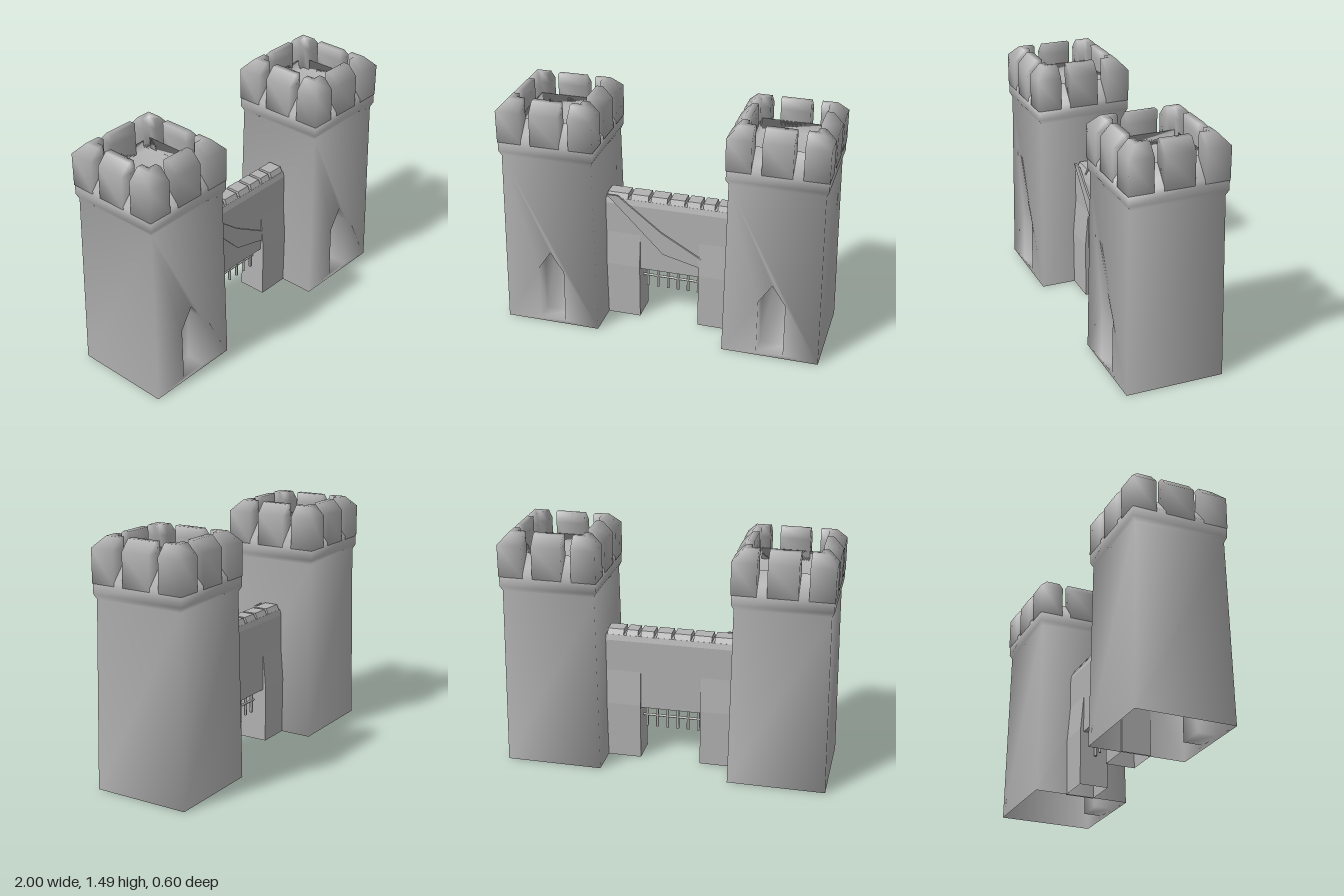
import * as THREE from 'three';
import { mergeVertices } from 'three/addons/utils/BufferGeometryUtils.js';

const stone = new THREE.MeshStandardMaterial({ color: 0xb2b2b2, side: THREE.DoubleSide });
stone.name = 'grey stone';

function addMesh(parent, name, geometry) {
  const mesh = new THREE.Mesh(geometry, stone);
  mesh.name = name;
  parent.add(mesh);
  return mesh;
}

// Share corner vertices so the shading flows around the edges
function smooth(geometry) {
  geometry.deleteAttribute('normal');
  geometry.deleteAttribute('uv');
  const g = mergeVertices(geometry, 1e-4);
  g.computeVertexNormals();
  return g;
}

// Collects triangles and quads into one geometry
function faceBuilder() {
  const data = [];
  const tri = (a, b, c) => data.push(...a, ...b, ...c);
  const quad = (a, b, c, d) => { tri(a, b, c); tri(a, c, d); };
  const build = () => {
    const g = new THREE.BufferGeometry();
    g.setAttribute('position', new THREE.Float32BufferAttribute(data, 3));
    g.computeVertexNormals();
    return g;
  };
  return { tri, quad, build };
}

// Open-bottomed block through rectangles [zBack, zFront, y]
function block(x0, x1, levels) {
  const f = faceBuilder();
  const ring = ([zb, zf, y]) => [[x0, y, zf], [x1, y, zf], [x1, y, zb], [x0, y, zb]];
  const rings = levels.map(ring);
  for (let i = 0; i < rings.length - 1; i++) {
    for (let k = 0; k < 4; k++) {
      const n = (k + 1) % 4;
      f.quad(rings[i][k], rings[i][n], rings[i + 1][n], rings[i + 1][k]);
    }
  }
  f.quad(...rings[rings.length - 1]);
  return f.build();
}

// Square tower shell with a deep pointed doorway in the front wall
function towerShell() {
  const f = faceBuilder();
  const base = 0.3, neck = 0.283, neckY = 1.13, depth = 0.12;
  const half = (y) => base + (neck - base) * y / neckY;
  const turn = ([x, y, z], k) => [[x, y, z], [z, y, -x], [-x, y, -z], [-z, y, x]][k];

  // Plain walls, flared neck, sloping sills and inner rim
  const levels = [[base, 0], [neck, neckY], [0.297, 1.16], [0.297, 1.24], [0.2, 1.35], [0.2, 1.28]];
  for (let k = 0; k < 4; k++) {
    for (let i = k === 0 ? 1 : 0; i < levels.length - 1; i++) {
      const [h0, y0] = levels[i], [h1, y1] = levels[i + 1];
      f.quad(...[[-h0, y0, h0], [h0, y0, h0], [h1, y1, h1], [-h1, y1, h1]].map((p) => turn(p, k)));
    }
  }
  // Roof floor
  f.quad([-0.2, 1.28, 0.2], [0.2, 1.28, 0.2], [0.2, 1.28, -0.2], [-0.2, 1.28, -0.2]);

  // Front wall around the doorway
  const v = (x, y) => new THREE.Vector2(x, y);
  const wall = [v(-base, 0), v(base, 0), v(neck, neckY), v(-neck, neckY)];
  const door = [v(-0.083, 0.025), v(0.083, 0.025), v(0.083, 0.375), v(0, 0.5), v(-0.083, 0.375)];
  const hole = door.slice().reverse();
  const all = [...wall, ...hole];
  const front = (p) => [p.x, p.y, half(p.y)];
  const back = (p) => [p.x, p.y, base - depth];
  for (const [a, b, c] of THREE.ShapeUtils.triangulateShape(wall, [hole])) {
    f.tri(front(all[a]), front(all[b]), front(all[c]));
  }
  // Doorway sides and back
  door.forEach((p, i) => {
    const q = door[(i + 1) % door.length];
    f.quad(front(p), front(q), back(q), back(p));
  });
  for (const [a, b, c] of THREE.ShapeUtils.triangulateShape(door, [])) {
    f.tri(back(door[a]), back(door[b]), back(door[c]));
  }
  return smooth(f.build());
}

// Battlement block with its outer top edge bevelled
function merlon(points) {
  const shape = new THREE.Shape(points.map(([x, y]) => new THREE.Vector2(x, y)));
  const g = new THREE.ExtrudeGeometry(shape, { depth: 2, steps: 2, bevelEnabled: false });
  g.rotateX(-Math.PI / 2);
  const p = g.attributes.position;
  const inset = (n) => (Math.abs(n) > 0.29 ? Math.sign(n) * 0.24 : n);
  for (let i = 0; i < p.count; i++) {
    const level = Math.round(p.getY(i));
    p.setY(i, [1.22, 1.42, 1.485][level]);
    if (level === 2) {
      p.setX(i, inset(p.getX(i)));
      p.setZ(i, inset(p.getZ(i)));
    }
  }
  return smooth(g);
}

function makeTower(name, x) {
  const tower = new THREE.Group();
  tower.name = name;
  tower.position.x = x;
  addMesh(tower, 'towerShell', towerShell());
  const side = merlon([[-0.09, 0.2], [0.09, 0.2], [0.09, 0.3], [-0.09, 0.3]]);
  const corner = merlon([[0.15, 0.2], [0.2, 0.2], [0.2, 0.15], [0.3, 0.15], [0.3, 0.3], [0.15, 0.3]]);
  for (let k = 0; k < 4; k++) {
    addMesh(tower, 'sideMerlon', side).rotation.y = k * Math.PI / 2;
    addMesh(tower, 'cornerMerlon', corner).rotation.y = k * Math.PI / 2;
  }
  return tower;
}

function makeGateWall() {
  const gate = new THREE.Group();
  gate.name = 'gateWall';

  // Gate posts, narrowing into the wall above
  const post = [[-0.1, 0.08, 0], [-0.1, 0.08, 0.36], [-0.08, 0.06, 0.58]];
  addMesh(gate, 'rightPost', block(-0.41, -0.19, post));
  addMesh(gate, 'leftPost', block(0.19, 0.41, post));

  // Wall over the opening, with its underside
  addMesh(gate, 'upperWall', block(-0.41, 0.41,
    [[-0.08, 0.06, 0.34], [-0.08, 0.06, 0.78], [-0.07, 0.05, 0.815]]));
  const under = new THREE.PlaneGeometry(0.4, 0.14).rotateX(Math.PI / 2);
  under.translate(0, 0.34, -0.01);
  addMesh(gate, 'archUnderside', under);

  // Low battlements parted by narrow slits
  const slits = [-0.41, -0.26, -0.13, -0.01, 0.1, 0.2, 0.29, 0.41];
  for (let i = 0; i < slits.length - 1; i++) {
    addMesh(gate, 'wallMerlon', block(slits[i] + 0.009, slits[i + 1] - 0.009,
      [[-0.07, 0.05, 0.813], [-0.052, 0.034, 0.847]]));
  }

  // Diagonal ridge across the front
  const ridge = new THREE.Shape([[-0.4, 0.84], [-0.04, 0.47], [0.4, 0.36], [-0.05, 0.62], [-0.33, 0.84]]
    .map(([x, y]) => new THREE.Vector2(x, y)));
  const ridgeGeo = new THREE.ExtrudeGeometry(ridge, { depth: 0.012, bevelEnabled: false });
  addMesh(gate, 'diagonalRidge', ridgeGeo).position.z = 0.058;

  // Raised portcullis
  const bar = new THREE.CylinderGeometry(0.009, 0.009, 0.17, 8);
  for (let i = 0; i < 6; i++) {
    addMesh(gate, 'portcullisBar', bar).position.set(-0.162 + i * 0.066, 0.27, -0.01);
  }
  const rail = new THREE.CylinderGeometry(0.008, 0.008, 0.39, 8).rotateZ(Math.PI / 2);
  addMesh(gate, 'portcullisRail', rail).position.set(0, 0.262, -0.01);
  return gate;
}

export function createModel() {
  const model = new THREE.Group();
  model.name = 'castleGate';
  model.add(makeTower('rightTower', -0.7), makeTower('leftTower', 0.7), makeGateWall());
  return model;
}
